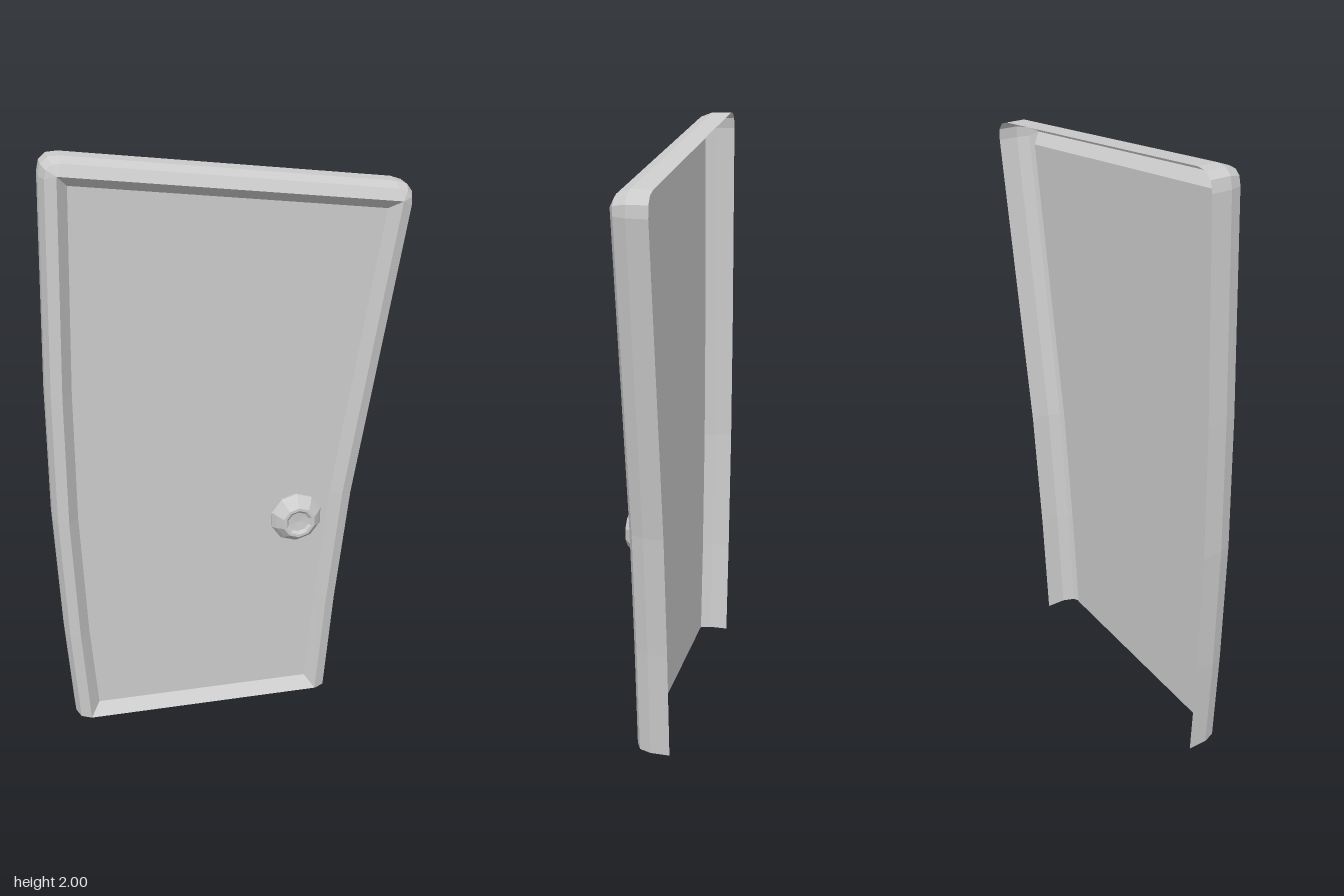
import * as THREE from 'three';

const material = new THREE.MeshStandardMaterial({ color: 0xcccccc, flatShading: true, side: THREE.DoubleSide });

// Crooked door outline: up the left edge, across the top, down the right edge
const outline = [
  [-0.562, 0], [-0.583, 0.35], [-0.598, 0.8], [-0.594, 1.25], [-0.568, 2.008],
  [0.602, 1.862], [0.437, 0.8], [0.394, 0.38], [0.365, 0],
].map(([x, y]) => new THREE.Vector2(x, y));
const corners = [4, 5];

// Outline moved inwards by d with mitred joints; the feet end at height footY
function inset(d, footY) {
  const last = outline.length - 1;
  const normal = (i) => {
    const e = outline[i + 1].clone().sub(outline[i]).normalize();
    return new THREE.Vector2(e.y, -e.x);
  };
  return outline.map((p, i) => {
    if (i === 0 || i === last) return new THREE.Vector2(p.x + (i === 0 ? d : -d), footY);
    const a = normal(i - 1), b = normal(i);
    return p.clone().addScaledVector(a.clone().add(b), d / (1 + a.dot(b)));
  });
}

// Replace each top corner by a short curve that starts c away from it
function roundCorners(points, c) {
  return points.flatMap((p, i) => {
    if (!corners.includes(i)) return [p];
    const towards = (q) => p.clone().addScaledVector(q.clone().sub(p).normalize(), c);
    return new THREE.QuadraticBezierCurve(towards(points[i - 1]), p, towards(points[i + 1])).getPoints(3);
  });
}

// Faces between consecutive rings of [points, z]
function loft(rings) {
  const pos = [], index = [], n = rings[0][0].length;
  rings.forEach(([pts, z]) => pts.forEach((p) => pos.push(p.x, p.y, z)));
  for (let r = 0; r < rings.length - 1; r++) {
    for (let i = 0; i < n - 1; i++) {
      const a = r * n + i, b = a + n;
      index.push(a, b, a + 1, a + 1, b, b + 1);
    }
  }
  const g = new THREE.BufferGeometry();
  g.setAttribute('position', new THREE.Float32BufferAttribute(pos, 3));
  g.setIndex(index);
  g.computeVertexNormals();
  return g;
}

export function createModel() {
  const group = new THREE.Group();
  const add = (name, geometry) => {
    const mesh = new THREE.Mesh(geometry, material);
    mesh.name = name;
    group.add(mesh);
    return mesh;
  };
  const panelZ = 0, rimZ = 0.037;
  const rim = inset(0.05, 0), inner = inset(0.083, 0.04);

  // Side walls, bevelled frame and the slope down to the panel
  add('frame', loft([
    [roundCorners(inset(0, 0), 0.065), -0.085],
    [roundCorners(inset(0, 0), 0.065), -0.02],
    [roundCorners(inset(0.015, 0), 0.05), 0.02],
    [roundCorners(rim, 0), rimZ],
    [roundCorners(inner, 0), panelZ],
  ]));

  // Slope along the bottom
  add('bottomSill', loft([
    [[rim.at(-1), rim[0]], rimZ],
    [[inner.at(-1), inner[0]], panelZ],
  ]));

  // Recessed panel
  add('panel', new THREE.ShapeGeometry(new THREE.Shape(inner)).translate(0, 0, panelZ));

  // Ten-sided knob with a dished face
  const profile = [[0.04, 0], [0.045, 0.02], [0.088, 0.03], [0.09, 0.04], [0.078, 0.058],
    [0.056, 0.082], [0.046, 0.082], [0.036, 0.073], [0, 0.07]];
  const knob = add('knob', new THREE.LatheGeometry(profile.map(([r, y]) => new THREE.Vector2(r, y)), 10));
  knob.rotation.x = Math.PI / 2;
  knob.position.set(0.225, 0.738, panelZ);

  return group;
}
